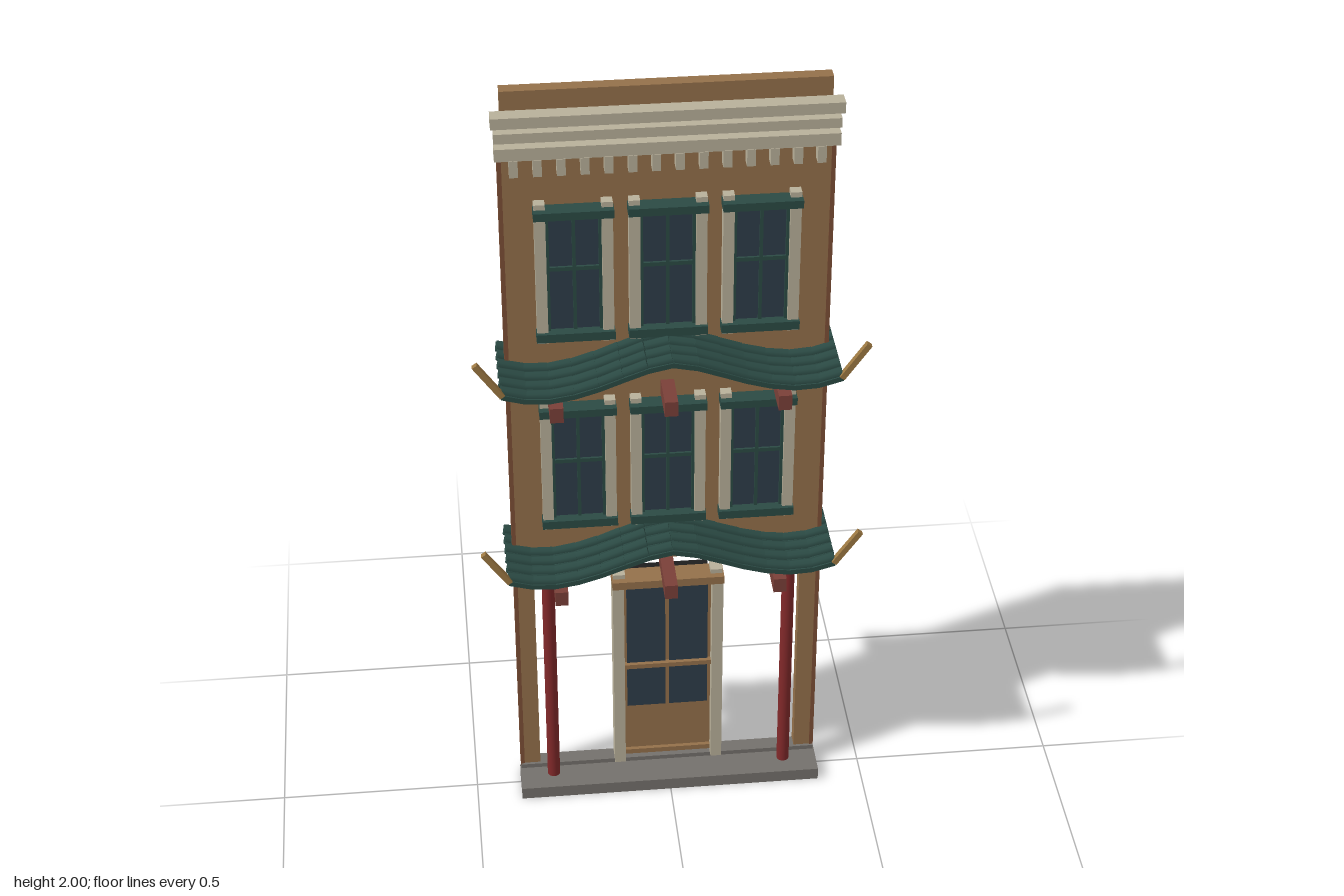
import * as THREE from 'three';

const mat = (name, color) => {
  const m = new THREE.MeshStandardMaterial({ color });
  m.name = name;
  return m;
};

export function createModel() {
  const M = {
    wall: mat('brown plaster', 0x94704a),
    edge: mat('dark brown trim', 0x7c4f36),
    cream: mat('cream stone', 0xb8b09a),
    teal: mat('teal tile', 0x2b4a44),
    glass: mat('dark glass', 0x2e3c49),
    red: mat('red lacquer', 0x82292a),
    beam: mat('red brown timber', 0x7a4038),
    stone: mat('grey stone', 0x74706c),
    gold: mat('ochre', 0x9c7842),
    black: mat('black backing', 0x1e1e1e),
  };
  const root = new THREE.Group();
  root.name = 'shophouseFacade';

  const group = (name, x = 0, y = 0, parent = root) => {
    const g = new THREE.Group();
    g.name = name;
    g.position.set(x, y, 0);
    parent.add(g);
    return g;
  };
  const add = (name, geo, material, parent = root) => {
    const m = new THREE.Mesh(geo, material);
    m.name = name;
    parent.add(m);
    return m;
  };
  // Box given by its limits on each axis
  const box = (name, material, x0, x1, y0, y1, z0, z1, parent = root) => {
    const m = add(name, new THREE.BoxGeometry(x1 - x0, y1 - y0, z1 - z0), material, parent);
    m.position.set((x0 + x1) / 2, (y0 + y1) / 2, (z0 + z1) / 2);
    return m;
  };
  const extrude = (points, z0, z1) => {
    const shape = new THREE.Shape(points.map(p => new THREE.Vector2(p[0], p[1])));
    const g = new THREE.ExtrudeGeometry(shape, { depth: z1 - z0, bevelEnabled: false });
    return g.translate(0, 0, z0);
  };

  // Wall with open ground floor, parapet and corner trims
  add('wall', extrude([[-0.375, 0.03], [-0.333, 0.03], [-0.333, 0.69], [0.333, 0.69],
    [0.333, 0.03], [0.375, 0.03], [0.375, 1.85], [-0.375, 1.85]], -0.055, -0.022), M.wall);
  box('parapet', M.wall, -0.373, 0.373, 1.85, 2, -0.056, -0.024);
  for (const s of [-1, 1]) {
    box('cornerTrim', M.edge, s * 0.379 - 0.005, s * 0.379 + 0.005, 0.04, 1.85, -0.053, -0.02);
  }

  // Stone plinth and sill
  box('plinth', M.stone, -0.386, 0.386, 0, 0.033, -0.03, 0.066);
  box('sill', M.stone, -0.383, 0.383, 0, 0.045, -0.055, -0.015);

  // Cornice bands and dentils
  [[1.841, 1.872, 0.39, 0.006], [1.888, 1.912, 0.39, 0.01], [1.926, 1.953, 0.396, 0.014]]
    .forEach(([y0, y1, w, z]) => box('corniceBand', M.cream, -w, w, y0, y1, -0.024, z));
  for (let i = 0; i < 14; i++) {
    const x = (i - 6.5) * 0.0535;
    box('dentil', M.cream, x - 0.01, x + 0.01, 1.8, 1.842, -0.024, 0.008);
  }

  // Windows: two storeys of three
  const addWindow = (x, y) => {
    const g = group('window', x, y);
    box('windowBacking', M.black, -0.077, 0.077, -0.168, 0.168, -0.07, -0.05, g);
    box('windowPane', M.glass, -0.066, 0.066, -0.165, 0.165, -0.023, -0.014, g);
    for (const s of [-1, 1]) {
      box('jamb', M.cream, s * 0.077 - 0.013, s * 0.077 + 0.013, -0.185, 0.185, -0.024, 0.003, g);
      box('sash', M.teal, s * 0.061 - 0.004, s * 0.061 + 0.004, -0.165, 0.165, -0.02, -0.006, g);
    }
    box('mullion', M.teal, -0.004, 0.004, -0.165, 0.165, -0.02, -0.008, g);
    box('crossbar', M.teal, -0.06, 0.06, 0.003, 0.013, -0.02, -0.008, g);
    box('windowLintel', M.teal, -0.092, 0.092, 0.152, 0.172, -0.022, 0.02, g);
    box('windowSill', M.teal, -0.092, 0.092, -0.178, -0.156, -0.022, 0.012, g);
  };
  for (const y of [1.539, 1.0]) for (const x of [-0.216, 0, 0.216]) addWindow(x, y);

  // Door with glazed upper part
  const door = group('door');
  box('doorBacking', M.black, -0.105, 0.105, 0.04, 0.637, -0.072, -0.05, door);
  box('doorLeaf', M.wall, -0.112, 0.112, 0.045, 0.625, -0.05, -0.03, door);
  for (const s of [-1, 1]) {
    box('doorJamb', M.cream, s * 0.125 - 0.014, s * 0.125 + 0.014, 0.045, 0.62, -0.052, 0, door);
    box('upperPane', M.glass, s * 0.054 - 0.049, s * 0.054 + 0.049, 0.355, 0.615, -0.031, -0.026, door);
    box('lowerPane', M.glass, s * 0.054 - 0.049, s * 0.054 + 0.049, 0.212, 0.342, -0.031, -0.026, door);
    box('lintelBlock', M.cream, s * 0.122 - 0.015, s * 0.122 + 0.015, 0.635, 0.652, -0.045, -0.008, door);
  }
  box('doorRail', M.wall, -0.111, 0.111, 0.342, 0.355, -0.032, -0.016, door);
  box('kickRail', M.wall, -0.111, 0.111, 0.055, 0.068, -0.032, -0.02, door);
  box('doorLintel', M.wall, -0.14, 0.14, 0.618, 0.64, -0.05, 0.008, door);

  // Round columns
  for (const x of [-0.3, 0.3]) {
    add('column', new THREE.CylinderGeometry(0.016, 0.016, 0.635, 16), M.red)
      .position.set(x, 0.35, 0.009);
  }

  // Beams through the wall under each roof
  for (const y of [1.199, 0.655]) for (const x of [-0.27, 0, 0.27]) {
    box('beam', M.beam, x - 0.016, x + 0.016, y - 0.02, y + 0.02, -0.077, 0.077);
  }

  // Curved canopy roofs: wavy slab, rows of round tiles, upturned tips
  const half = [0.09, 0.078, 0.057, 0.035, 0.018, 0.009, 0.012, 0.028];
  const wave = [];
  for (let i = -7; i <= 7; i++) wave.push([i * 0.4 / 7, half[Math.abs(i)]]);
  const slab = extrude([...wave.map(([x, y]) => [x, y - 0.013]), ...wave.slice().reverse()], -0.118, 0.114);
  const addRoof = y => {
    const g = group('canopyRoof', 0, y);
    add('roofSlab', slab, M.teal, g);
    for (let r = 0; r < 6; r++) {
      for (let i = 0; i < 14; i++) {
        const [a, b] = [wave[i], wave[i + 1]];
        const len = Math.hypot(b[0] - a[0], b[1] - a[1]);
        const tile = add('roofTile', new THREE.CylinderGeometry(0.015, 0.0135, len, 8), M.teal, g);
        tile.position.set((a[0] + b[0]) / 2, (a[1] + b[1]) / 2, -0.099 + r * 0.039);
        tile.rotation.z = Math.atan2(b[1] - a[1], b[0] - a[0]) - Math.PI / 2;
      }
    }
    for (const s of [-1, 1]) {
      const tip = add('roofTip', new THREE.BoxGeometry(0.014, 0.108, 0.014), M.gold, g);
      tip.position.set(s * 0.427, 0.066, 0.108);
      tip.rotation.z = -s * 0.61;
    }
  };
  addRoof(1.262);
  addRoof(0.72);

  return root;
}
